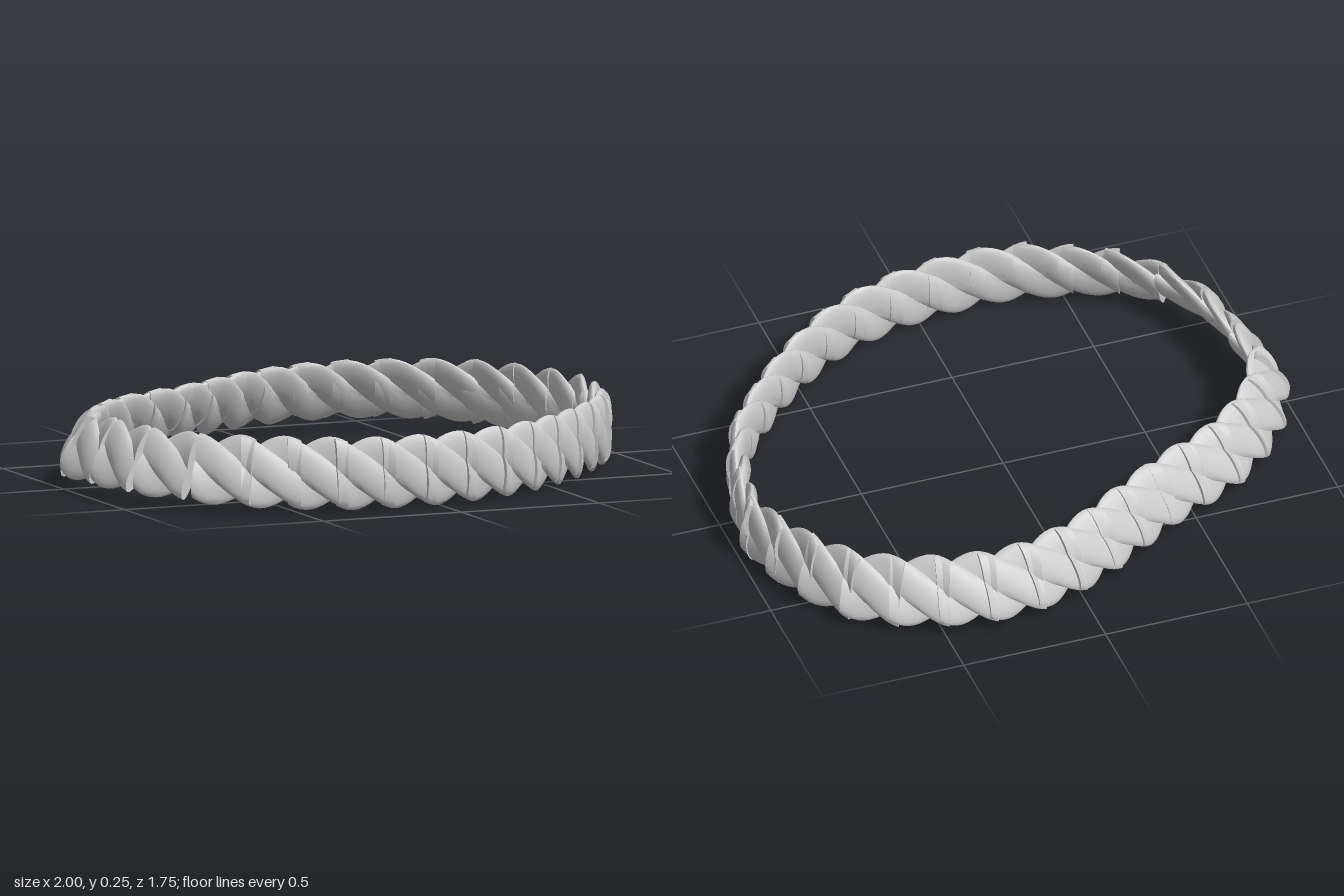
import * as THREE from 'three';
import { toCreasedNormals } from 'three/addons/utils/BufferGeometryUtils.js';

const LENGTH = 0.2, HALF_HEIGHT = 0.118, HALF_WIDTH = 0.036, PITCH = 0.47;

// Centre line of the ring as [x, z], running left to front to right to back
const PATH = [
  [-0.92, 0.1], [-0.9, 0.28], [-0.83, 0.49], [-0.67, 0.67], [-0.5, 0.76], [-0.3, 0.825],
  [-0.1, 0.83], [0.1, 0.8], [0.3, 0.73], [0.5, 0.6], [0.7, 0.41], [0.85, 0.21],
  [0.92, 0], [0.945, -0.2], [0.87, -0.44], [0.73, -0.64], [0.5, -0.76], [0.25, -0.795],
  [0, -0.73], [-0.2, -0.62], [-0.4, -0.5], [-0.65, -0.37], [-0.83, -0.2], [-0.92, -0.02],
];

// One short piece of flattened three-strand rope along local x
function twistedSegment() {
  const rows = 10, sides = 36, pos = [], index = [];
  for (let i = 0; i <= rows; i++) {
    const v = 2 * i / rows - 1, s = v * LENGTH / 2;
    const twist = -2 * Math.PI * s / PITCH;
    const flare = 0.92 + 0.28 * v * v; // wider at both ends
    for (let j = 0; j < sides; j++) {
      const a = 2 * Math.PI * j / sides;
      const r = 0.64 + 0.39 * Math.abs(Math.cos(1.5 * a)); // three lobes with sharp grooves
      pos.push(s, HALF_HEIGHT * r * Math.sin(a + twist), HALF_WIDTH * flare * r * Math.cos(a + twist));
    }
  }
  for (let i = 0; i < rows; i++) {
    for (let j = 0; j < sides; j++) {
      const k = (j + 1) % sides, p = i * sides, q = p + sides;
      index.push(p + j, q + j, q + k, p + j, q + k, p + k);
    }
  }
  // End caps
  const c = pos.length / 3, last = rows * sides;
  pos.push(-LENGTH / 2, 0, 0, LENGTH / 2, 0, 0);
  for (let j = 0; j < sides; j++) {
    const k = (j + 1) % sides;
    index.push(c, j, k, c + 1, last + k, last + j);
  }
  const g = new THREE.BufferGeometry();
  g.setAttribute('position', new THREE.Float32BufferAttribute(pos, 3));
  g.setIndex(index);
  return toCreasedNormals(g, 0.6);
}

export function createModel() {
  const ring = new THREE.Group();
  ring.name = 'twistedRing';
  const material = new THREE.MeshStandardMaterial({ color: 0xcccccc, side: THREE.DoubleSide });
  const geometry = twistedSegment();
  const curve = new THREE.CatmullRomCurve3(PATH.map(([x, z]) => new THREE.Vector3(x, 0, z)), true);
  const up = new THREE.Vector3(0, 1, 0);

  // Distances along the ring: two pieces with gaps at the left, the rest overlapping
  const total = curve.getLength(), first = 0.608, end = total - 0.035;
  const steps = Math.round((end - first) * 3 / PITCH);
  const distances = [0.18, 0.4];
  for (let i = 0; i <= steps; i++) distances.push(first + (end - first) * i / steps);

  distances.forEach((d, i) => {
    const p = curve.getPointAt(d / total), T = curve.getTangentAt(d / total);
    const out = new THREE.Vector3().crossVectors(T, up);

    // The band leans inward along the back and left and stands upright opposite
    const facing = Math.cos(Math.atan2(p.z, p.x) - Math.atan2(-0.73, -0.65));
    const lean = 0.52 * THREE.MathUtils.smoothstep(facing, -0.7, 0.35);
    const U = up.clone().multiplyScalar(Math.cos(lean)).addScaledVector(out, -Math.sin(lean));
    const S = new THREE.Vector3().crossVectors(T, U);

    const segment = new THREE.Mesh(geometry, material);
    segment.name = `ropeSegment${i + 1}`;
    segment.quaternion.setFromRotationMatrix(new THREE.Matrix4().makeBasis(T, U, S));
    segment.position.set(p.x, 0.128 + 0.04 * lean, p.z);
    ring.add(segment);
  });
  return ring;
}
